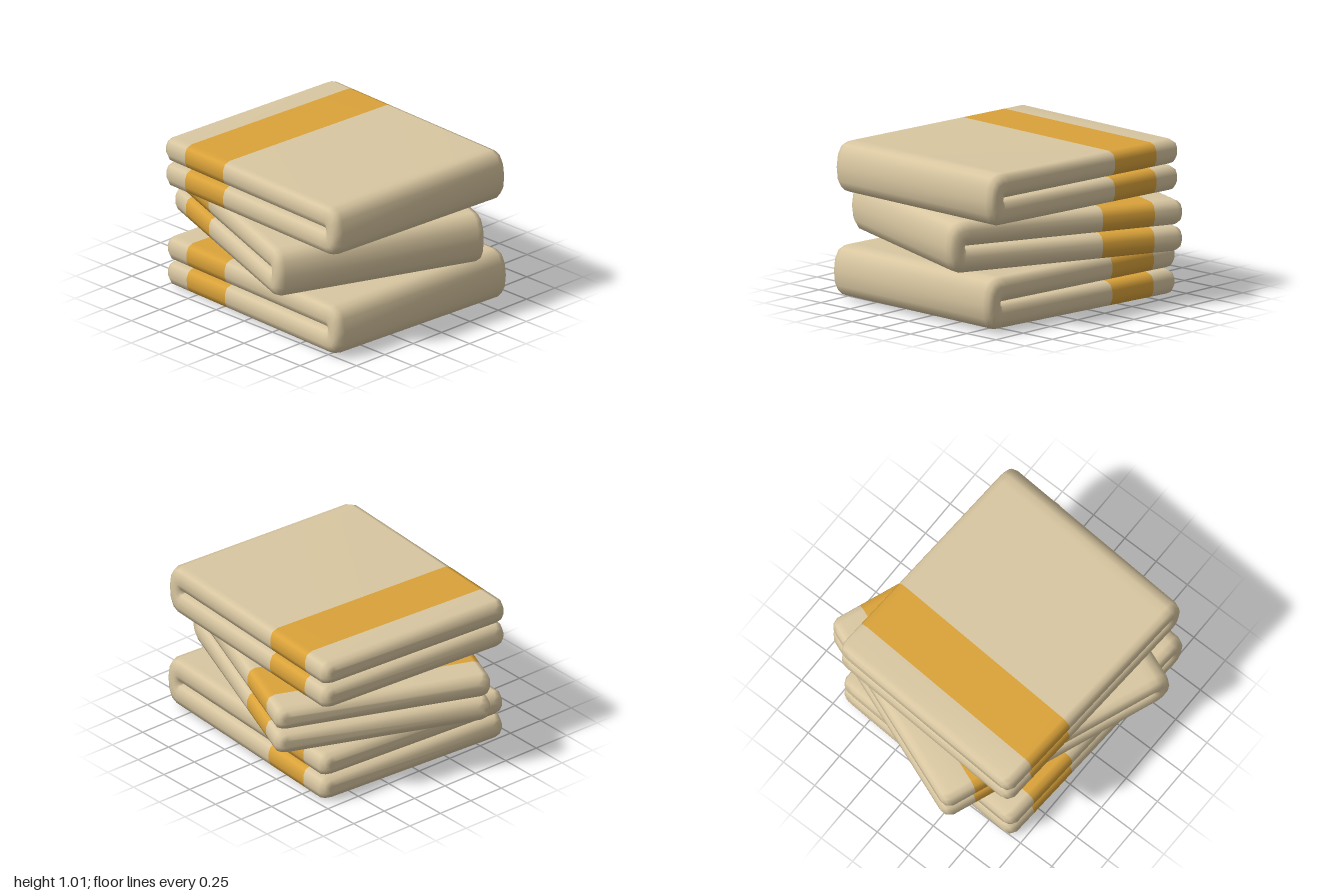
import * as THREE from 'three';

const towelCloth = new THREE.MeshStandardMaterial({ color: 0xd9c7a1 });
towelCloth.name = 'beige cloth';
const stripeCloth = new THREE.MeshStandardMaterial({ color: 0xdba33a });
stripeCloth.name = 'golden stripe';

const HALF_LENGTH = 0.825, HALF_WIDTH = 0.715, HALF_HEIGHT = 0.165;
const GAP = 0.005, BEVEL = 0.055, FOLD_X = 0.73;
const LAYER = HALF_HEIGHT - GAP;
const STRIPE = [-0.61, -0.25];

// Rounded layer section: s runs from the inner face (0) to the outer face (1)
function layerSection() {
  const points = [];
  const corners = [[1, 1], [-1, 1], [-1, -1], [1, -1]];
  corners.forEach(([sz, sy], corner) => {
    for (let k = 0; k <= 2; k++) {
      const a = (corner + k / 2) * Math.PI / 2;
      const z = sz * (HALF_WIDTH - BEVEL) + BEVEL * Math.cos(a);
      const y = sy * (LAYER / 2 - BEVEL) + BEVEL * Math.sin(a);
      points.push({ s: 0.5 + y / LAYER, z });
    }
  });
  return points;
}

// Stations along the cloth: upper layer, round the fold, lower layer
function foldedStations() {
  const straight = [
    [-HALF_LENGTH, 0.05], [-HALF_LENGTH + 0.018, 0.018], [-HALF_LENGTH + 0.055, 0],
    [STRIPE[0], 0], [STRIPE[1], 0], [FOLD_X - 0.06, 0],
  ];
  const layer = (side) => straight.map(([x, inset]) => ({
    outer: [x, side * HALF_HEIGHT], inner: [x, side * GAP], inset,
  }));
  const fold = [];
  for (let k = 0; k <= 6; k++) {
    const a = Math.PI / 2 - k * Math.PI / 6;
    const bulge = Math.pow(Math.max(0, Math.cos(a)), 0.9);
    const rise = Math.sign(Math.sin(a)) * Math.pow(Math.abs(Math.sin(a)), 0.9);
    fold.push({
      outer: [FOLD_X + 0.095 * bulge, HALF_HEIGHT * rise],
      inner: [FOLD_X - 0.04 + 0.004 * bulge, GAP * rise],
      inset: 0,
    });
  }
  return [...layer(1), ...fold, ...layer(-1).reverse()];
}

function towelGeometry() {
  const section = layerSection(), stations = foldedStations();
  const n = section.length, positions = [], clothFaces = [], stripeFaces = [];

  for (const { outer, inner, inset } of stations) {
    for (const p of section) {
      const s = 0.5 + (p.s - 0.5) * (1 - 2 * inset / LAYER);
      positions.push(
        inner[0] + (outer[0] - inner[0]) * s,
        inner[1] + (outer[1] - inner[1]) * s,
        p.z * (1 - inset / HALF_WIDTH));
    }
  }

  for (let i = 0; i < stations.length - 1; i++) {
    const middle = (stations[i].outer[0] + stations[i + 1].outer[0]) / 2;
    const faces = middle > STRIPE[0] && middle < STRIPE[1] ? stripeFaces : clothFaces;
    for (let j = 0; j < n; j++) {
      const a = i * n + j, c = i * n + (j + 1) % n;
      faces.push(a, a + n, c, c, a + n, c + n);
    }
  }

  // Caps on the two open ends
  const last = (stations.length - 1) * n;
  for (let j = 1; j < n - 1; j++) {
    clothFaces.push(0, j, j + 1, last, last + j + 1, last + j);
  }

  const geometry = new THREE.BufferGeometry();
  geometry.setAttribute('position', new THREE.Float32BufferAttribute(positions, 3));
  geometry.setIndex([...clothFaces, ...stripeFaces]);
  geometry.addGroup(0, clothFaces.length, 0);
  geometry.addGroup(clothFaces.length, stripeFaces.length, 1);
  geometry.computeVertexNormals();
  return geometry;
}

export function createModel() {
  const model = new THREE.Group();
  model.name = 'towelStack';
  const geometry = towelGeometry();

  // Three towels, the middle one turned further
  const towels = [
    { name: 'bottomTowel', at: [0.09, 0.177, 0.025], turn: -0.055 },
    { name: 'middleTowel', at: [0, 0.514, 0], turn: -0.367 },
    { name: 'topTowel', at: [0.07, 0.842, 0.02], turn: -0.055 },
  ];
  for (const { name, at, turn } of towels) {
    const towel = new THREE.Mesh(geometry, [towelCloth, stripeCloth]);
    towel.name = name;
    towel.position.set(...at);
    towel.rotation.set(0.004, turn, 0.009);
    model.add(towel);
  }
  return model;
}
